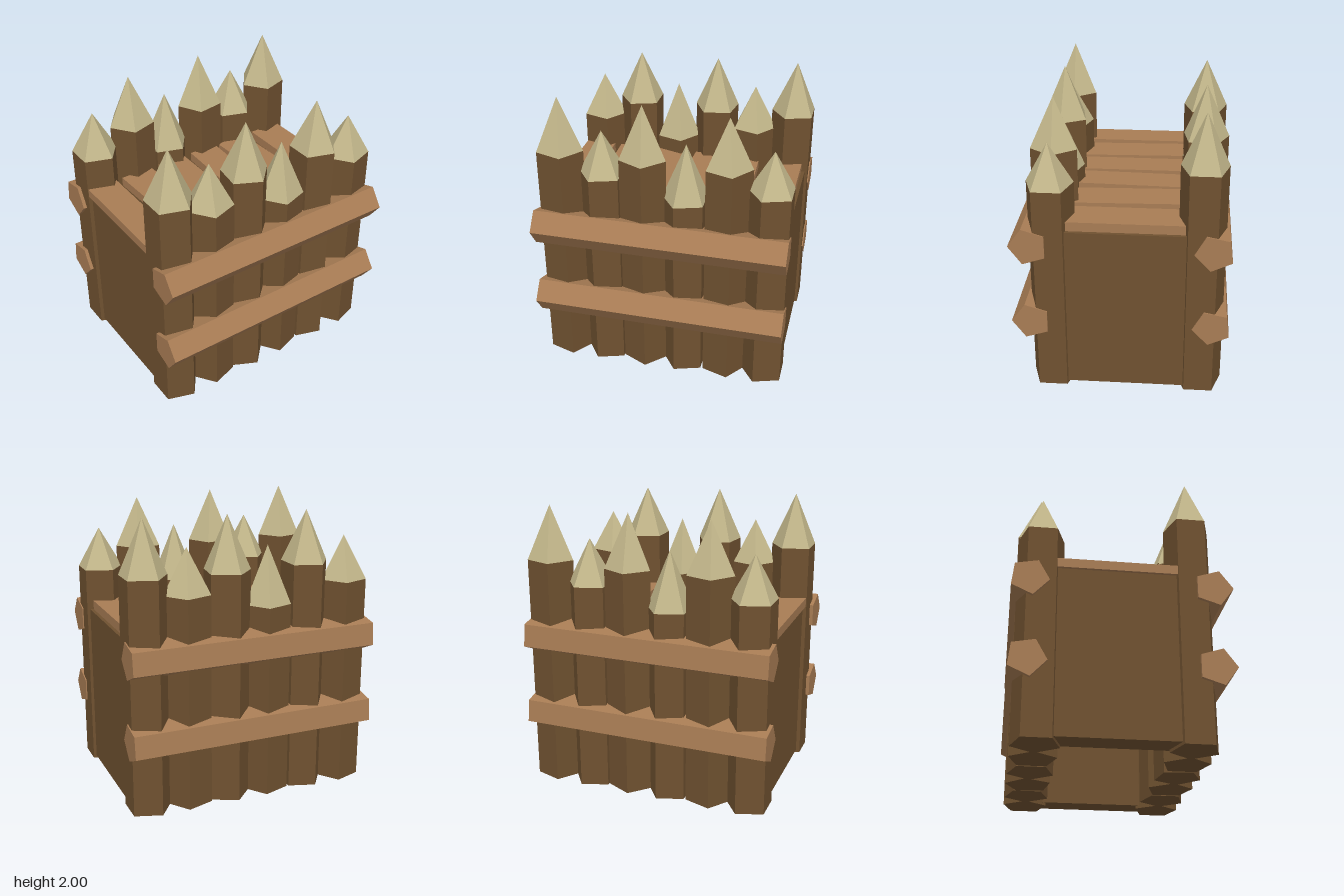
import * as THREE from 'three';

const deg = Math.PI / 180;
const material = (color) => new THREE.MeshStandardMaterial({ color, flatShading: true });

export function createModel() {
  const model = new THREE.Group();
  const bark = material(0x6f5130);
  const plank = material(0xa87c54);
  const cut = material(0xc2b68a);

  const add = (parent, name, geometry, mat, x, y, z) => {
    const mesh = new THREE.Mesh(geometry, mat);
    mesh.name = name;
    mesh.position.set(x, y, z);
    parent.add(mesh);
    return mesh;
  };

  // Sharpened five-sided stake, one corner pointing along +x before turning
  const R = 0.166;
  const addStake = (name, x, z, shoulder, tip, turn) => {
    const stake = new THREE.Group();
    stake.name = name;
    const h = tip - shoulder;
    add(stake, 'stakeShaft', new THREE.CylinderGeometry(R, R, shoulder, 5, 1, false, Math.PI / 2), bark, 0, shoulder / 2, 0);
    add(stake, 'stakeTip', new THREE.ConeGeometry(R, h, 5, 1, false, Math.PI / 2), cut, 0, shoulder + h / 2, 0);
    stake.position.set(x, 0, z);
    stake.rotation.y = turn * deg;
    model.add(stake);
  };

  // Two rows of stakes: x, then [shoulder, tip, turn] for front and back
  const stakes = [
    [-0.723, [1.625, 2.0, 0], [1.48, 1.785, 0]],
    [-0.425, [1.48, 1.79, 180], [1.625, 1.98, 180]],
    [-0.14, [1.625, 2.0, -8], [1.36, 1.76, 0]],
    [0.157, [1.355, 1.755, 180], [1.61, 1.985, 172]],
    [0.443, [1.625, 1.975, 0], [1.48, 1.79, 0]],
    [0.74, [1.48, 1.77, 180], [1.625, 2.0, 180]],
  ];
  for (const [x, front, back] of stakes) {
    addStake('frontStake', x, 0.47, ...front);
    addStake('backStake', x, -0.537, ...back);
  }

  // Five-sided rails along both rows
  const addRail = (name, y, z, turn) => {
    const rail = add(model, name, new THREE.CylinderGeometry(0.134, 0.134, 1.765, 5, 1, false, turn * deg), plank, 0, y, z);
    rail.rotation.z = Math.PI / 2;
  };
  for (const y of [0.518, 1.088]) {
    addRail('frontRail', y, 0.602, 0);
    addRail('backRail', y, -0.617, -7);
  }

  // Solid end walls
  for (const [name, x] of [['leftWall', 0.763], ['rightWall', -0.74]]) {
    add(model, name, new THREE.BoxGeometry(0.184, 1.17, 0.9), bark, x, 0.605, -0.035);
  }

  // Walkway planks, some laid slightly askew: x, width, turn
  const planks = [
    [-0.741, 0.224, 0], [-0.443, 0.245, 2], [-0.158, 0.224, 0],
    [0.112, 0.22, -2], [0.4, 0.245, 2], [0.708, 0.245, 0],
  ];
  for (const [x, width, turn] of planks) {
    const board = add(model, 'walkwayPlank', new THREE.BoxGeometry(width, 0.065, 0.845), plank, x, 1.222, -0.015);
    board.rotation.y = turn * deg;
  }

  return model;
}
